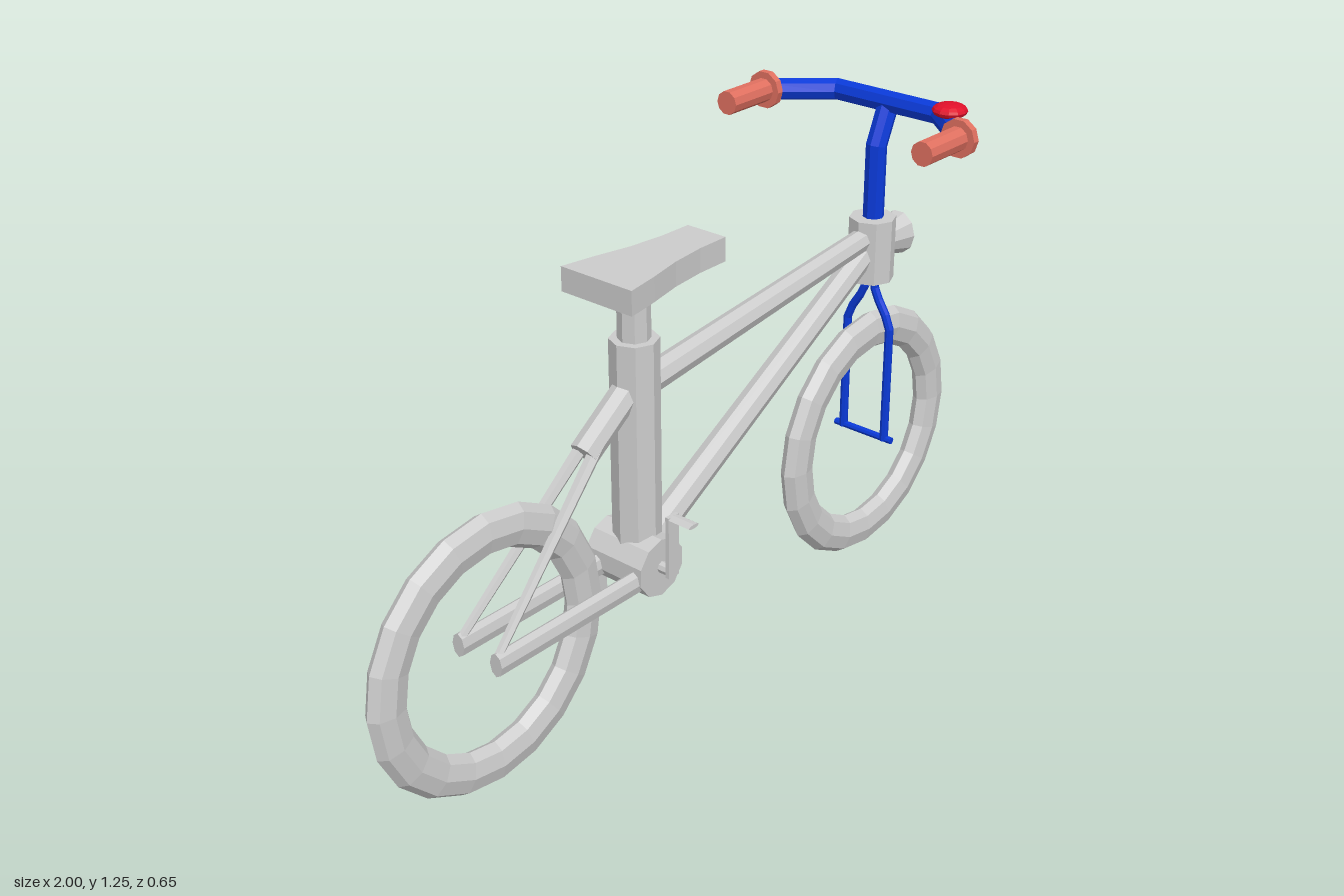
import * as THREE from 'three';

const paint = (color) => new THREE.MeshStandardMaterial({ color, flatShading: true });
const V = (x, y, z) => new THREE.Vector3(x, y, z);

// Straight-sided path whose samples fall exactly on its corners
class Polyline extends THREE.Curve {
  constructor(points) { super(); this.points = points; }
  getPointAt(u) {
    const s = u * (this.points.length - 1);
    const i = Math.min(Math.floor(s + 1e-6), this.points.length - 2);
    return this.points[i].clone().lerp(this.points[i + 1], s - i);
  }
  getPoint(u) { return this.getPointAt(u); }
  getTangentAt(u) {
    const p = this.points, i = Math.round(u * (p.length - 1));
    const t = V(0, 0, 0);
    if (i > 0) t.add(p[i].clone().sub(p[i - 1]).normalize());
    if (i < p.length - 1) t.add(p[i + 1].clone().sub(p[i]).normalize());
    return t.normalize();
  }
}

export function createModel() {
  const bike = new THREE.Group();
  bike.name = 'bicycle';
  const grey = paint(0xcccccc), blue = paint(0x0a3ad8);
  const salmon = paint(0xe07060), red = paint(0xe0102a);

  const add = (name, geometry, material = grey) => {
    const mesh = new THREE.Mesh(geometry, material);
    mesh.name = name;
    bike.add(mesh);
    return mesh;
  };
  // Faceted rod between two points
  const rod = (name, a, b, ra, rb = ra, material = grey, sides = 8) => {
    const mesh = add(name, new THREE.CylinderGeometry(rb, ra, a.distanceTo(b), sides), material);
    mesh.position.copy(a).lerp(b, 0.5);
    mesh.quaternion.setFromUnitVectors(V(0, 1, 0), b.clone().sub(a).normalize());
    return mesh;
  };
  const bent = (name, points, r, material, sides = 8) =>
    add(name, new THREE.TubeGeometry(new Polyline(points), points.length - 1, r, sides), material);
  const box = (name, size, at) => add(name, new THREE.BoxGeometry(...size)).position.set(...at);

  // Tyres
  for (const [name, x] of [['rearWheel', -0.665], ['frontWheel', 0.665]]) {
    const wheel = add(name, new THREE.TorusGeometry(0.284, 0.05, 8, 20));
    wheel.position.set(x, 0.34, 0);
    wheel.scale.z = 0.62;
  }

  // Main frame
  rod('seatTube', V(-0.202, 0.36, 0), V(-0.202, 0.905, 0), 0.056);
  rod('seatPost', V(-0.202, 0.9, 0), V(-0.202, 1.03, 0), 0.037);
  rod('topTube', V(-0.19, 0.785, 0), V(0.65, 0.885, 0), 0.034, 0.028);
  rod('downTube', V(-0.2, 0.366, 0), V(0.64, 0.85, 0), 0.036, 0.031);
  rod('headTube', V(0.658, 0.77, 0), V(0.658, 0.93, 0), 0.058);
  rod('bottomBracket', V(-0.21, 0.366, -0.085), V(-0.21, 0.366, 0.08), 0.072, 0.072, grey, 10);

  // Rear triangle
  rod('seatStayBridge', V(-0.365, 0.688, 0), V(-0.19, 0.815, 0), 0.034);
  for (const s of [-1, 1]) {
    const stay = rod('chainStay', V(-0.7, 0.347, s * 0.057), V(-0.17, 0.347, s * 0.057), 0.029);
    stay.scale.set(1, 1, 0.62);
    rod('seatStay', V(-0.69, 0.365, s * 0.055), V(-0.34, 0.705, s * 0.018), 0.01, 0.016, grey, 6);
  }

  // Saddle: a slab narrowing towards the nose
  const outline = [[-0.315, 0.1], [-0.23, 0.085], [-0.14, 0.065], [-0.05, 0.055], [0.035, 0.054]];
  const saddle = new THREE.Shape([
    ...outline.map(([x, z]) => new THREE.Vector2(x, z)),
    ...outline.map(([x, z]) => new THREE.Vector2(x, -z)).reverse(),
  ]);
  const seat = add('seat', new THREE.ExtrudeGeometry(saddle, { depth: 0.057, bevelEnabled: false }));
  seat.rotation.x = -Math.PI / 2;
  seat.position.y = 1.02;

  // Cranks and pedals, half a turn apart
  rod('crankAxle', V(-0.21, 0.368, -0.11), V(-0.21, 0.368, 0.115), 0.014);
  for (const s of [-1, 1]) {
    box('crankArm', [0.034, 0.155, 0.01], [-0.21, 0.368 + s * 0.067, s * 0.112]);
    const pedal = rod('pedal', V(-0.21, 0.368 + s * 0.14, s * 0.112), V(-0.21, 0.368 + s * 0.14, s * 0.175), 0.017);
    pedal.scale.x = 1;
    pedal.scale.z = 0.3;
  }

  // Headlamp with a recessed lens
  const lampProfile = [[0, 0], [0.038, 0], [0.056, 0.065], [0.04, 0.065], [0.034, 0.045], [0, 0.045]]
    .map(([r, h]) => new THREE.Vector2(r, h));
  const lamp = add('headlamp', new THREE.LatheGeometry(lampProfile, 10));
  lamp.rotation.z = -Math.PI / 2;
  lamp.position.set(0.705, 0.857, 0);
  lamp.scale.z = 0.88;

  // Fork
  for (const s of [-1, 1]) {
    bent('forkLeg', [V(0.66, 0.78, s * 0.012), V(0.66, 0.745, s * 0.014), V(0.66, 0.715, s * 0.028),
      V(0.66, 0.68, s * 0.05), V(0.66, 0.645, s * 0.064), V(0.66, 0.335, s * 0.064)], 0.011, blue);
  }
  rod('forkAxle', V(0.66, 0.34, -0.088), V(0.66, 0.34, 0.088), 0.009, 0.009, blue);

  // Stem and handlebar
  bent('stem', [V(0.66, 0.92, 0), V(0.66, 1.11, 0), V(0.7, 1.2, 0)], 0.026, blue);
  bent('handlebar', [V(0.585, 1.21, -0.28), V(0.698, 1.21, -0.15),
    V(0.698, 1.21, 0.15), V(0.585, 1.21, 0.28)], 0.027, blue);

  // Grips with end flanges
  for (const s of [-1, 1]) {
    rod('grip', V(0.435, 1.21, s * 0.28), V(0.59, 1.21, s * 0.28), 0.029, 0.029, salmon, 10);
    rod('gripFlange', V(0.574, 1.21, s * 0.28), V(0.592, 1.21, s * 0.28), 0.046, 0.046, salmon, 10);
  }

  // Bell
  const bell = add('bell', new THREE.SphereGeometry(0.042, 12, 8), red);
  bell.scale.y = 0.42;
  bell.position.set(0.65, 1.243, 0.207);

  return bike;
}
